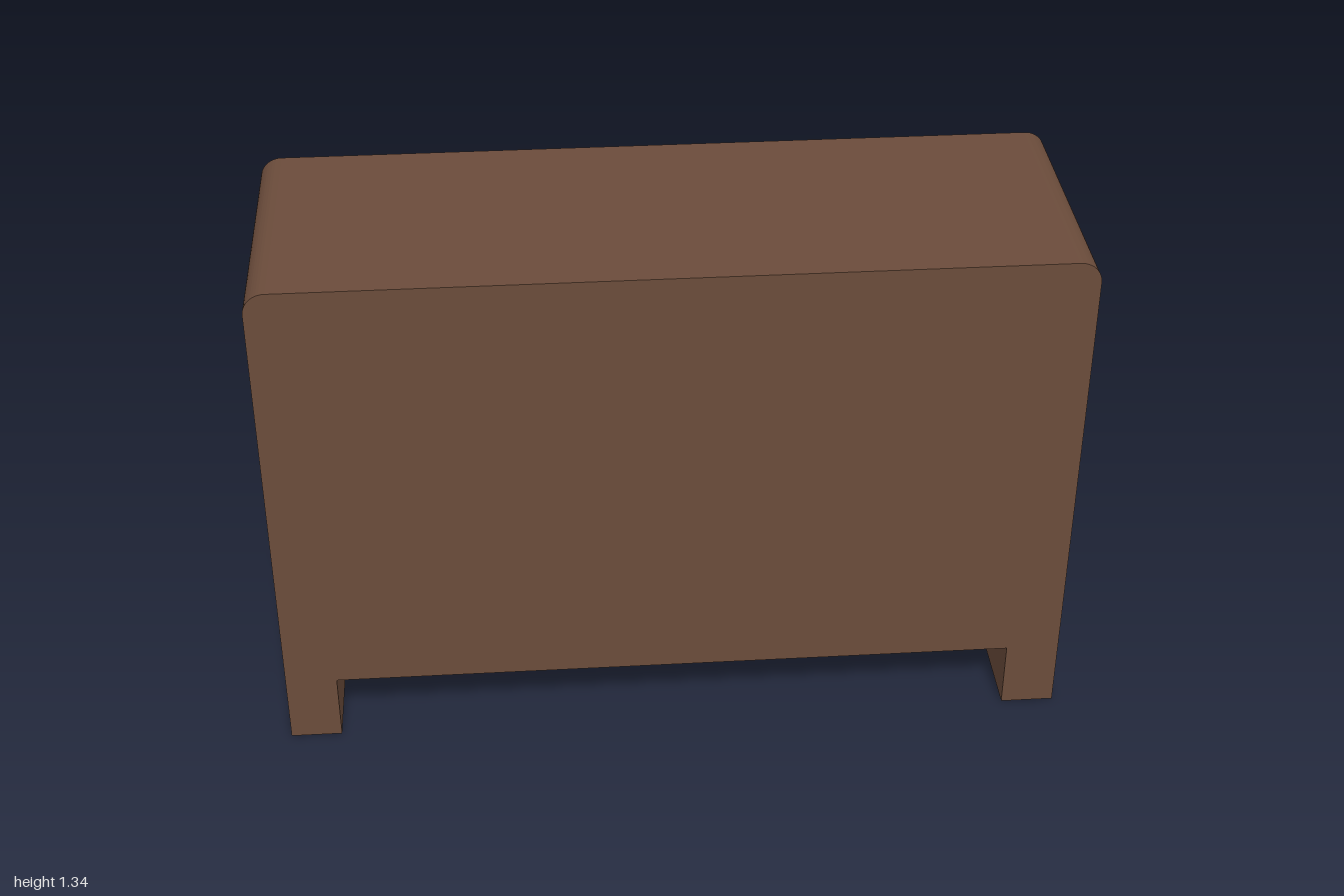
import * as THREE from 'three';

export function createModel() {
  const model = new THREE.Group();
  model.name = 'dresser';
  const wood = new THREE.MeshStandardMaterial({ color: 0x6b4c3b, flatShading: true });

  // Body: one profile with rounded top corners and a recess between the feet
  const top = 1.335, r = 0.055;
  const profile = new THREE.Shape();
  profile.moveTo(-1, 0);
  profile.lineTo(-0.87, 0);
  profile.lineTo(-0.87, 0.18);
  profile.lineTo(0.865, 0.18);
  profile.lineTo(0.865, 0);
  profile.lineTo(1, 0);
  profile.lineTo(1, top - r);
  profile.absarc(1 - r, top - r, r, 0, Math.PI / 2, false);
  profile.lineTo(-1 + r, top);
  profile.absarc(-1 + r, top - r, r, Math.PI / 2, Math.PI, false);
  profile.closePath();
  const bodyGeometry = new THREE.ExtrudeGeometry(profile, { depth: 0.665, bevelEnabled: false, curveSegments: 6 });
  bodyGeometry.translate(0, 0, -0.3);
  const body = new THREE.Mesh(bodyGeometry, wood);
  body.name = 'body';
  model.add(body);

  const addBox = (name, width, height, depth, x, y, z) => {
    const mesh = new THREE.Mesh(new THREE.BoxGeometry(width, height, depth), wood);
    mesh.name = name;
    mesh.position.set(x, y, z);
    model.add(mesh);
  };

  // Three drawer fronts, each with a bar handle
  for (let i = 0; i < 3; i++) {
    const y = 0.5 + i * 0.334;
    addBox('drawerFront' + (i + 1), 1.53, 0.198, 0.035, -0.005, y, -0.3175);
    addBox('handle' + (i + 1), 0.29, 0.04, 0.031, -0.005, y, -0.3505);
  }
  return model;
}
